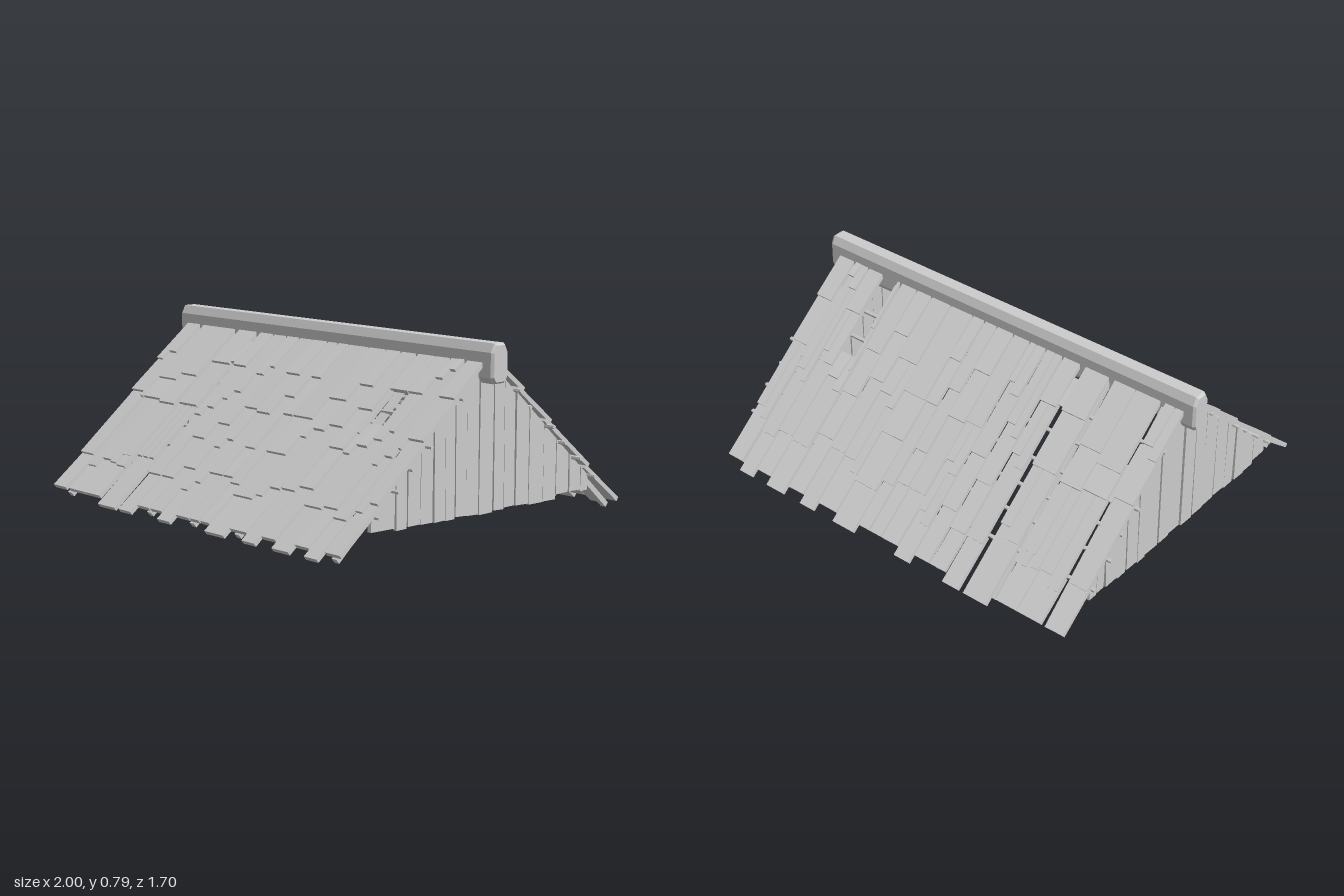
import * as THREE from 'three';

const mat = new THREE.MeshStandardMaterial({ color: 0xcccccc, flatShading: true });
const PITCH = Math.atan(0.886);
const TOP_Y = 0.725, TOP_Z = 0.05; // where the outer roof surface meets the ridge

function seeded(seed) {
  return () => {
    seed = (seed * 16807) % 2147483647;
    return seed / 2147483647;
  };
}

// distance down the slope for a horizontal distance from the ridge line
const down = (z) => (z - TOP_Z) / Math.cos(PITCH);

function add(parent, name, geometry, x = 0, y = 0, z = 0) {
  const mesh = new THREE.Mesh(geometry, mat);
  mesh.name = name;
  mesh.position.set(x, y, z);
  parent.add(mesh);
  return mesh;
}

// left edge, right edge, eave reach, then where each course of boards ends
const COLUMNS = [
  [-0.945, -0.855, 0.82, 0.21, 0.38, 0.67],
  [-0.83, -0.71, 0.82, 0.31, 0.4, 0.69],
  [-0.705, -0.6, 0.82, 0.28, 0.41, 0.66],
  [-0.57, -0.45, 0.85, 0.21, 0.4, 0.62],
  [-0.42, -0.337, 0.85, 0.21, 0.41, 0.69],
  [-0.325, -0.247, 0.82, 0.33, 0.52, 0.69],
  [-0.236, -0.16, 0.82, 0.21, 0.45, 0.64],
  [-0.15, -0.07, 0.85, 0.37, 0.52, 0.7],
  [-0.062, 0.022, 0.82, 0.21, 0.38, 0.64],
  [0.03, 0.09, 0.82, 0.3, 0.52, 0.64],
  [0.1, 0.157, 0.82, 0.21, 0.37, 0.66],
  [0.165, 0.283, 0.85, 0.37, 0.52, 0.7],
  [0.29, 0.392, 0.82, 0.28, 0.42, 0.66],
  [0.4, 0.477, 0.85, 0.21, 0.38, 0.64],
  [0.486, 0.568, 0.82, 0.3, 0.46, 0.62],
  [0.582, 0.68, 0.85, 0.21, 0.37, 0.45, 0.68],
  [0.686, 0.764, 0.82, 0.21, 0.38, 0.67],
  [0.773, 0.845, 0.85, 0.12, 0.47, 0.7],
  [0.86, 0.943, 0.82, 0.21, 0.38, 0.64],
];

// one board, raised a little at its lower end so it laps the next course
function board(parent, side, x0, x1, s0, s1, thick = 0.019) {
  const length = s1 - s0;
  const m = add(parent, 'roofBoard', new THREE.BoxGeometry(x1 - x0, thick, length),
    (x0 + x1) / 2, -0.008 - thick / 2, side * (s0 + s1) / 2);
  m.rotation.x = -side * Math.atan(0.015 / length);
}

function createSlope(side) {
  const rand = seeded(41);
  const slope = new THREE.Group();
  slope.name = side > 0 ? 'frontSlope' : 'backSlope';
  slope.position.set(0, TOP_Y, side * TOP_Z);
  slope.rotation.x = side * PITCH;

  COLUMNS.forEach(([x0, x1, eave, ...ends], c) => {
    const stops = [...ends, eave];
    let start = -0.015;
    stops.forEach((z, i) => {
      const end = down(z);
      const s0 = Math.max(start - 0.035, -0.015);
      const split = rand() < 0.3 && i < stops.length - 1;
      const cut = x0 + (x1 - x0) * (0.35 + rand() * 0.3);
      const open = c === 15 && (side > 0 ? i === 1 : i < 2);
      if (c === 3 && i === 2 && side > 0) {
        // worn patch of narrow slats
        for (let k = 0; k < 3; k++) board(slope, side, x0 + k * 0.043, x0 + k * 0.043 + 0.03, s0, end + 0.02, 0.014);
      } else if (open) {
        // missing boards, one thin sliver left
        board(slope, side, x0, x0 + 0.012, s0, end + 0.03, 0.014);
      } else if (split) {
        board(slope, side, x0, cut - 0.002, s0, end + 0.03);
        board(slope, side, cut + 0.002, x1, s0, end - 0.02);
      } else {
        board(slope, side, x0, x1, s0, end);
      }
      start = end;
    });
  });

  // loose strips filling wider gaps
  [[-0.65, -0.592, 0.42, 0.69], [-0.855, -0.84, 0.2, 0.4], [-0.45, -0.425, 0.1, 0.2],
    [0.845, 0.858, 0.15, 0.42]].forEach(([x0, x1, z0, z1]) =>
    board(slope, side, x0, x1, down(z0), down(z1), 0.016));

  // battens running along the roof
  [0.17, 0.26, 0.36, 0.45, 0.535, 0.635].forEach((z, i) => {
    const length = i === 1 ? 1.86 : 1.91 + rand() * 0.04;
    const m = add(slope, 'batten', new THREE.CylinderGeometry(0.009, 0.009, length, 6), 0.004, -0.034, side * down(z + 0.02));
    m.rotation.z = Math.PI / 2;
  });

  // rafters below the battens
  for (let i = 0; i < 7; i++) {
    add(slope, 'rafter', new THREE.BoxGeometry(0.026, 0.024, 1.03), -0.85 + i * 0.29, -0.045, side * 0.515);
  }
  return slope;
}

// wall of upright planks cut off under the roof
function createGable(x, name, seed) {
  const rand = seeded(seed);
  const gable = new THREE.Group();
  gable.name = name;
  const top = (z) => Math.min(0.7, TOP_Y - 0.045 - 0.886 * (Math.abs(z) - TOP_Z));
  for (let z = -0.635; z < 0.6;) {
    let end = z + 0.05 + rand() * 0.045;
    if (end > 0.58) end = 0.635;
    const a = z + 0.002, b = end - 0.003;
    const lean = (rand() - 0.5) * 0.01;
    const base = 0.085 + rand() * 0.012 + (Math.abs(z) > 0.5 ? 0.012 : 0);
    const shape = new THREE.Shape([
      new THREE.Vector2(a + lean, base), new THREE.Vector2(b + lean, base + (rand() - 0.5) * 0.006),
      new THREE.Vector2(b, top(b)), new THREE.Vector2(a, top(a)),
    ]);
    const geometry = new THREE.ExtrudeGeometry(shape, { depth: 0.02, bevelEnabled: false });
    const m = add(gable, 'gablePlank', geometry, x + 0.01 + (rand() - 0.5) * 0.008);
    m.rotation.y = -Math.PI / 2;
    z = end;
  }
  return gable;
}

// chamfered ridge beam
function createRidge() {
  const outline = [[-0.03, 0.625], [0.03, 0.625], [0.046, 0.65], [0.046, 0.752],
    [0.028, 0.788], [-0.028, 0.788], [-0.046, 0.752], [-0.046, 0.65]];
  const shape = new THREE.Shape(outline.map(([z, y]) => new THREE.Vector2(z, y)));
  const geometry = new THREE.ExtrudeGeometry(shape, {
    depth: 1.976, bevelEnabled: true, bevelSegments: 1, bevelSize: 0.008, bevelThickness: 0.012, bevelOffset: -0.008,
  });
  const ridge = new THREE.Mesh(geometry, mat);
  ridge.name = 'ridgeBeam';
  ridge.rotation.y = -Math.PI / 2;
  ridge.position.x = 0.988;
  return ridge;
}

export function createModel() {
  const roof = new THREE.Group();
  roof.name = 'woodenRoof';
  roof.add(createRidge(), createSlope(1), createSlope(-1));
  roof.add(createGable(0.915, 'leftGable', 7), createGable(-0.925, 'rightGable', 23));
  return roof;
}
